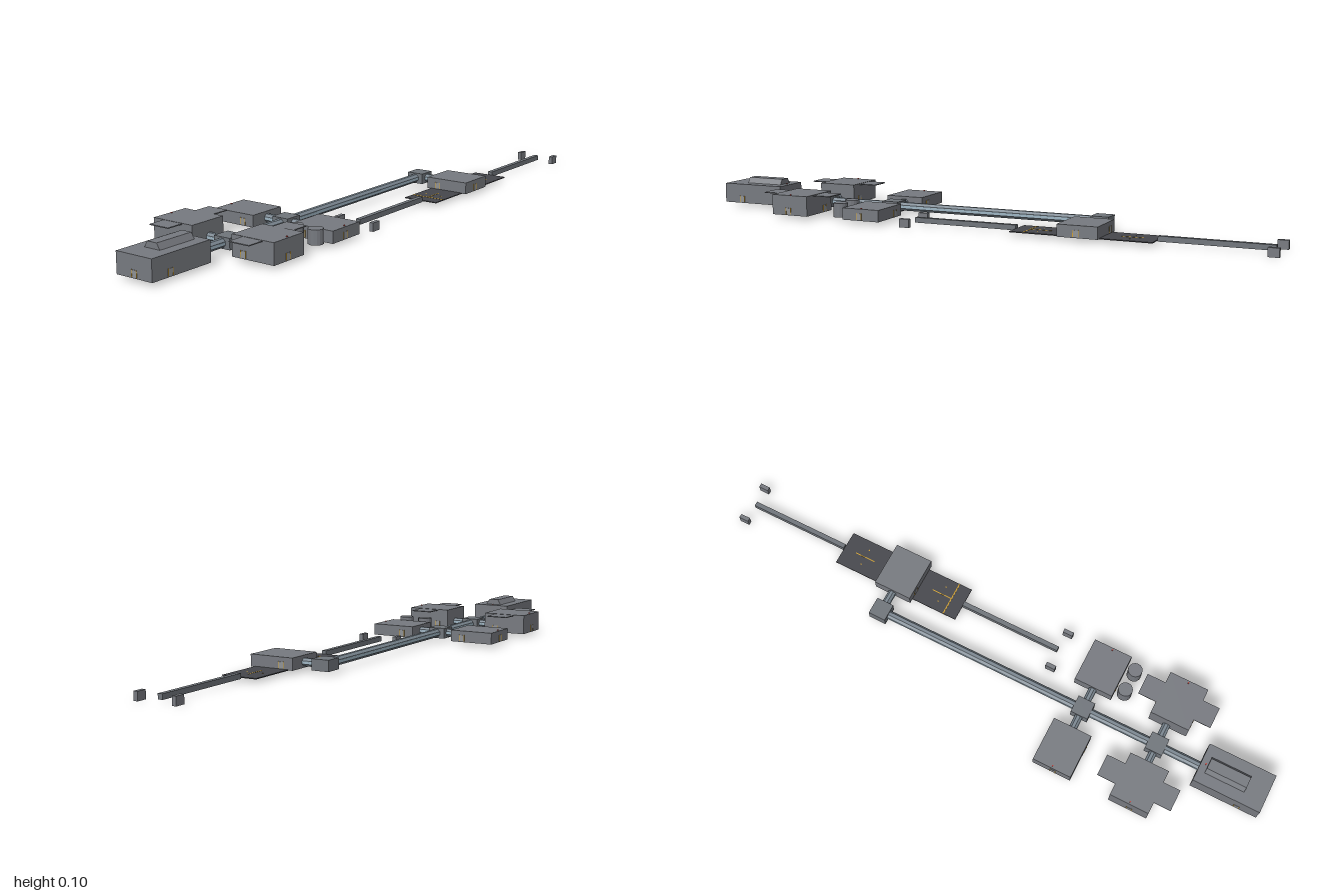
import * as THREE from 'three';

const paint = (color) => new THREE.MeshStandardMaterial({ color, flatShading: true });

export function createModel() {
  const base = new THREE.Group();
  base.name = 'modularBase';
  const hull = paint(0x777a80), hubGrey = paint(0x70757b), tube = paint(0x7b8791), glass = paint(0x9fb6c4);
  const dark = paint(0x46474c), panel = paint(0x8f9296), yellow = paint(0xd0a030), red = paint(0xc04038);

  // Box given by its limits along each axis
  function box(name, x0, x1, y0, y1, z0, z1, material, parent = base) {
    const mesh = new THREE.Mesh(new THREE.BoxGeometry(x1 - x0, y1 - y0, z1 - z0), material);
    mesh.position.set((x0 + x1) / 2, (y0 + y1) / 2, (z0 + z1) / 2);
    mesh.name = name;
    parent.add(mesh);
    return mesh;
  }

  // Door panel with yellow jambs, facing +z before it is turned
  function door(x, z, turn) {
    const g = new THREE.Group();
    g.name = 'door';
    box('doorPanel', -0.008, 0.008, 0.014, 0.035, -0.001, 0.001, panel, g);
    for (const s of [-1, 1]) box('doorJamb', s * 0.009 - 0.001, s * 0.009 + 0.001, 0.014, 0.036, -0.001, 0.0015, yellow, g);
    g.position.set(x, 0, z);
    g.rotation.y = turn;
    base.add(g);
  }

  // Octagonal corridor lying along z or x, with glazing strips on its flanks
  function corridor(name, length, x, z, radius, alongX) {
    const g = new THREE.Group();
    g.name = name;
    const geo = new THREE.CylinderGeometry(radius, radius, length, 8);
    geo.rotateY(Math.PI / 8).rotateX(Math.PI / 2);
    const shell = new THREE.Mesh(geo, tube);
    shell.name = 'corridorShell';
    g.add(shell);
    const w = radius * Math.cos(Math.PI / 8);
    for (const s of [-1, 1])
      box('corridorWindow', s * w - 0.0006, s * w + 0.0006, -0.004, 0.004, -length / 2, length / 2, glass, g);
    g.position.set(x, 0.029, z);
    if (alongX) g.rotation.y = Math.PI / 2;
    base.add(g);
  }

  // Main corridor, junction hubs and side arms
  corridor('mainCorridor', 1.17, 0, 0.19, 0.0148, false);
  const junctions = [[0.62, [-1, 1]], [0.355, [-1, 1]], [-0.395, [1]]];
  for (const [z, sides] of junctions) {
    box('hub', -0.03, 0.03, 0.011, 0.047, z - 0.03, z + 0.03, hubGrey);
    for (const s of sides) corridor('sideArm', 0.054, s * 0.054, z, 0.0135, true);
  }

  // Command module with a tapered skylight
  box('commandModule', -0.067, 0.067, 0.011, 0.078, 0.77, 1, hull);
  const sky = new THREE.BoxGeometry(0.058, 0.019, 0.136);
  const p = sky.attributes.position;
  for (let i = 0; i < p.count; i++) if (p.getY(i) > 0) p.setX(i, p.getX(i) * 0.62);
  sky.computeVertexNormals();
  const skylight = new THREE.Mesh(sky, hull);
  skylight.name = 'skylight';
  skylight.position.set(0, 0.0875, 0.862);
  base.add(skylight);
  box('skylightBeacon', -0.003, 0.003, 0.078, 0.08, 0.784, 0.788, red);
  door(0, 1, 0);
  for (const s of [-1, 1]) door(s * 0.067, 0.93, s * Math.PI / 2);

  // Side modules: tall pair with canopies, low pair behind
  for (const s of [-1, 1]) {
    const cx = s * 0.153;
    for (const [name, z, top] of [['tallModule', 0.625, 0.078], ['lowModule', 0.355, 0.05]]) {
      box(name, cx - 0.077, cx + 0.077, 0.011, top, z - 0.067, z + 0.067, hull);
      door(s * 0.118, z + 0.067, 0);
      door(s * 0.118, z - 0.067, Math.PI);
      door(s * 0.23, z + 0.005, s * Math.PI / 2);
      box('beacon', s * 0.222 - 0.002, s * 0.222 + 0.002, top, top + 0.003, z - 0.002, z + 0.002, red);
    }
    box('canopy', cx - 0.037, cx + 0.037, 0.074, 0.077, 0.495, 0.75, hull);
  }

  // Storage tanks beside the low module
  for (const x of [0.115, 0.19]) {
    const tank = new THREE.Mesh(new THREE.CylinderGeometry(0.024, 0.024, 0.047, 16), hull);
    tank.name = 'tank';
    tank.position.set(x, 0.0365, 0.452);
    base.add(tank);
  }

  // Hangar standing on a dark apron with yellow markings
  box('hangar', 0.076, 0.23, 0.011, 0.05, -0.46, -0.328, hull);
  door(0.23, -0.39, Math.PI / 2);
  for (const [z, t] of [[-0.328, 0], [-0.46, Math.PI]]) door(0.118, z, t);
  box('apron', 0.092, 0.214, 0.010, 0.013, -0.625, -0.165, dark);
  for (const z of [-0.545, -0.247]) {
    box('centreLine', 0.1515, 0.1545, 0.013, 0.0136, z - 0.036, z + 0.036, yellow);
    for (const x of [0.124, 0.182]) box('padMark', x - 0.002, x + 0.002, 0.013, 0.0136, z - 0.002, z + 0.002, yellow);
  }
  box('stopLine', 0.092, 0.214, 0.013, 0.0136, -0.213, -0.209, yellow);

  // Launch rails with a pair of marker posts at each far end
  for (const [z0, z1] of [[-0.978, -0.625], [-0.165, 0.19]])
    box('launchRail', 0.145, 0.161, 0.007, 0.024, z0, z1, hubGrey);
  for (const z of [-0.983, 0.196])
    for (const x of [0.087, 0.22])
      box('markerPost', x - 0.007, x + 0.007, 0, 0.028, z - 0.017, z + 0.017, hull);

  return base;
}
